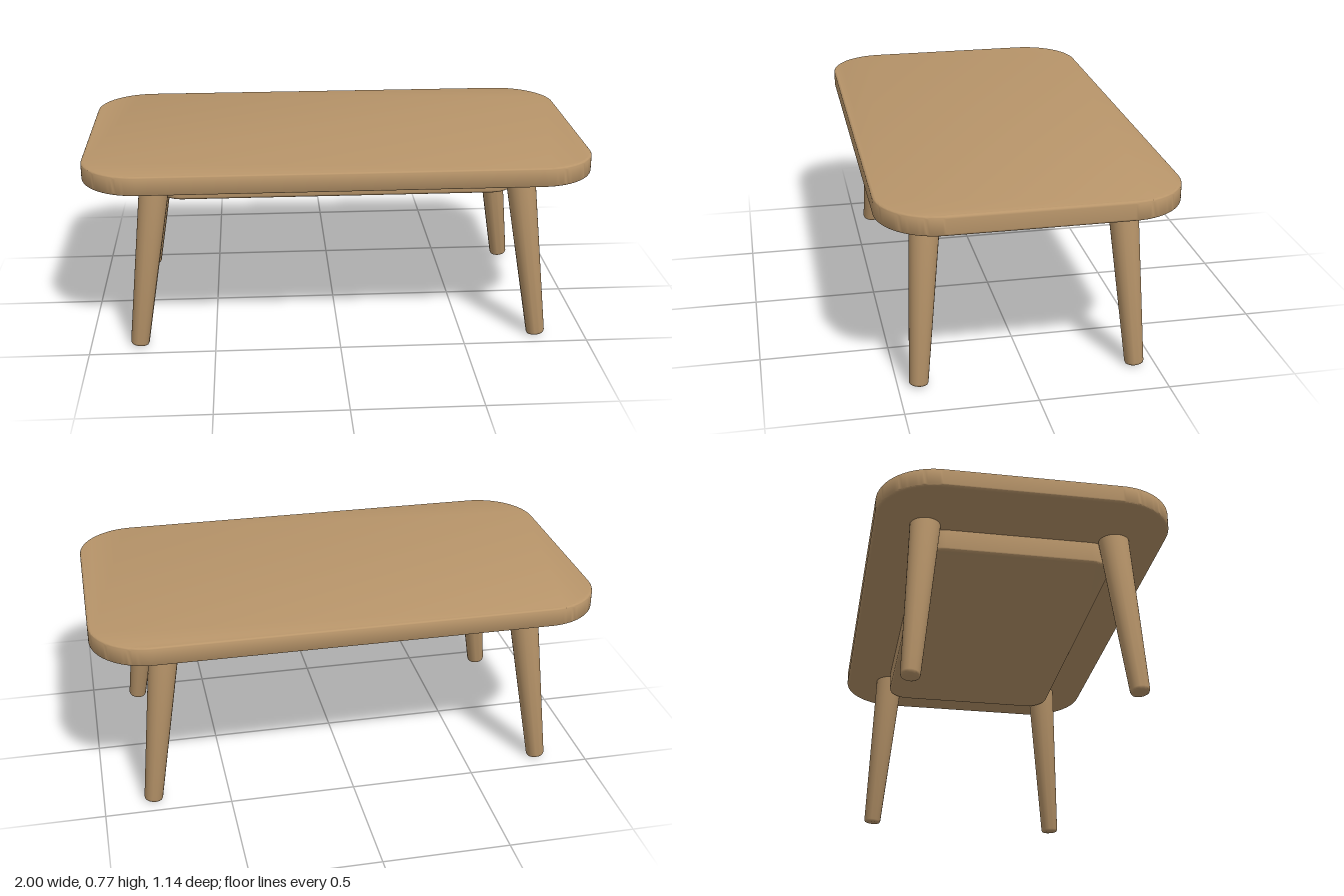
import * as THREE from 'three';
import { toCreasedNormals } from 'three/addons/utils/BufferGeometryUtils.js';

// Horizontal slab with rounded corners and softened edges, from y0 to y1
function roundedSlab(halfX, halfZ, radius, y0, y1, bevel) {
  const x = halfX - bevel, z = halfZ - bevel, r = radius - bevel;
  const shape = new THREE.Shape();
  shape.absarc(x - r, z - r, r, 0, Math.PI / 2);
  shape.absarc(-x + r, z - r, r, Math.PI / 2, Math.PI);
  shape.absarc(-x + r, -z + r, r, Math.PI, Math.PI * 1.5);
  shape.absarc(x - r, -z + r, r, Math.PI * 1.5, Math.PI * 2);
  shape.closePath();
  const geometry = new THREE.ExtrudeGeometry(shape, {
    depth: y1 - y0 - 2 * bevel, bevelEnabled: true, bevelThickness: bevel,
    bevelSize: bevel, bevelSegments: 4, curveSegments: 16,
  });
  geometry.rotateX(-Math.PI / 2);
  geometry.translate(0, y0 + bevel, 0);
  return toCreasedNormals(geometry, 0.6);
}

export function createModel() {
  const wood = new THREE.MeshStandardMaterial({ color: 0xb8956a });
  wood.name = 'wood';
  const model = new THREE.Group();
  model.name = 'coffeeTable';

  const add = (name, geometry) => {
    const mesh = new THREE.Mesh(geometry, wood);
    mesh.name = name;
    model.add(mesh);
    return mesh;
  };

  // Table top and the solid apron beneath it
  add('tableTop', roundedSlab(1, 0.568, 0.23, 0.69, 0.766, 0.01));
  add('apron', roundedSlab(0.7, 0.375, 0.09, 0.6, 0.7, 0.012));

  // Tapered round leg with a softened foot
  const foot = new THREE.Vector3(0.805, 0.005, 0.421);
  const head = new THREE.Vector3(0.714, 0.71, 0.37);
  const length = foot.distanceTo(head);
  const profile = [
    [0, 0], [0.029, 0], [0.034, 0.003], [0.037, 0.011], [0.06, length], [0, length],
  ].map(([r, y]) => new THREE.Vector2(r, y));
  const legGeometry = toCreasedNormals(new THREE.LatheGeometry(profile, 32), 0.8);

  // Four legs splayed outward
  const up = new THREE.Vector3(0, 1, 0);
  for (const [sx, side] of [[1, 'Left'], [-1, 'Right']]) {
    for (const [sz, end] of [[1, 'front'], [-1, 'back']]) {
      const mirror = new THREE.Vector3(sx, 1, sz);
      const leg = add(`${end}${side}Leg`, legGeometry);
      leg.position.copy(foot).multiply(mirror);
      const axis = head.clone().sub(foot).multiply(mirror).normalize();
      leg.quaternion.setFromUnitVectors(up, axis);
    }
  }
  return model;
}
